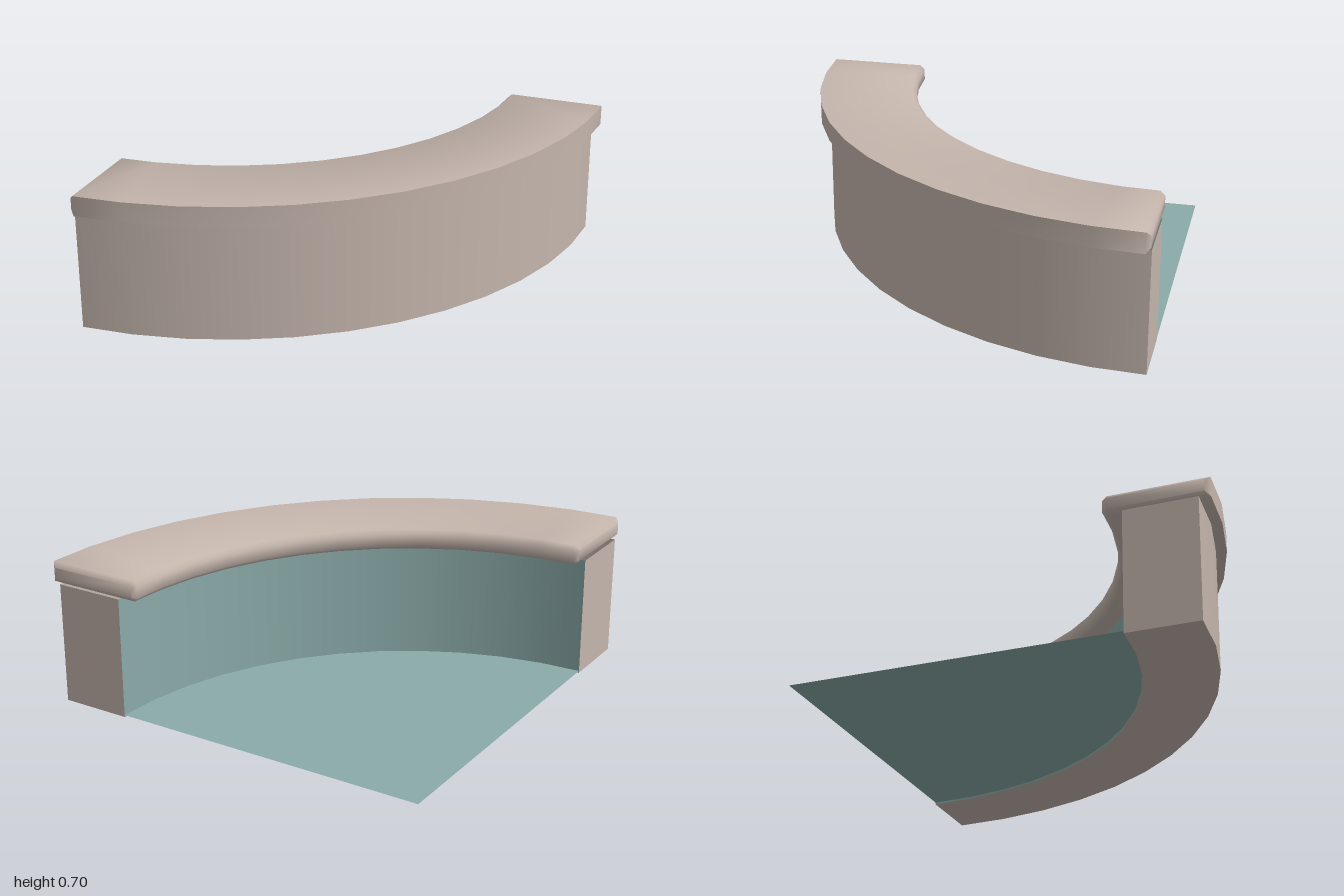
import * as THREE from 'three';
import { toCreasedNormals } from 'three/addons/utils/BufferGeometryUtils.js';

const QUARTER = Math.PI / 2;
const SEGMENTS = 12;
const WALL_INNER = 1.6, WALL_OUTER = 1.95, WALL_HEIGHT = 0.6;
const BEVEL = 0.022;

// Curved slab with a chamfered inner edge and chamfered ends.
function copingGeometry(inner, outer, bottom, top, bevel) {
  const section = [
    [outer, bottom], [outer, top],
    [inner + bevel, top], [inner, top - bevel],
    [inner, bottom + bevel], [inner + bevel, bottom],
  ];
  const { clamp } = THREE.MathUtils;
  const inset = section.map(([r, y]) => [
    clamp(r, inner + bevel, outer - bevel),
    clamp(y, bottom + bevel, top - bevel),
  ]);

  // Each ring: a cross-section, its angle, and a shift away from the end plane
  const rings = [{ pts: inset, a: 0, dx: 0, dz: 0 }, { pts: section, a: 0, dx: bevel, dz: 0 }];
  for (let i = 1; i < SEGMENTS; i++) {
    rings.push({ pts: section, a: (i / SEGMENTS) * QUARTER, dx: 0, dz: 0 });
  }
  rings.push({ pts: section, a: QUARTER, dx: 0, dz: bevel }, { pts: inset, a: QUARTER, dx: 0, dz: 0 });

  const positions = [], index = [];
  for (const { pts, a, dx, dz } of rings) {
    for (const [r, y] of pts) positions.push(r * Math.sin(a) + dx, y, r * Math.cos(a) + dz);
  }
  const n = section.length;
  for (let i = 0; i < rings.length - 1; i++) {
    for (let j = 0; j < n; j++) {
      const a = i * n + j, b = i * n + ((j + 1) % n);
      index.push(a, a + n, b + n, a, b + n, b);
    }
  }
  // End faces
  const last = (rings.length - 1) * n;
  for (let j = 1; j < n - 1; j++) {
    index.push(0, j, j + 1, last, last + j + 1, last + j);
  }
  const geometry = new THREE.BufferGeometry();
  geometry.setAttribute('position', new THREE.Float32BufferAttribute(positions, 3));
  geometry.setIndex(index);
  return toCreasedNormals(geometry, Math.PI / 3);
}

export function createModel() {
  const stone = new THREE.MeshStandardMaterial({ color: 0xc4b5ac, side: THREE.DoubleSide });
  stone.name = 'stone';
  const lining = new THREE.MeshStandardMaterial({ color: 0x8aaaa8, side: THREE.DoubleSide });
  lining.name = 'poolLining';

  const model = new THREE.Group();
  model.name = 'quarterPool';
  // All arcs share a centre at the back right corner
  const arc = new THREE.Group();
  arc.name = 'quarterRing';
  arc.position.set(-1, 0, -1);
  model.add(arc);

  const add = (name, geometry, material) => {
    const mesh = new THREE.Mesh(geometry, material);
    mesh.name = name;
    arc.add(mesh);
    return mesh;
  };

  // Curved wall faces
  const curvedWall = (radius) => new THREE.CylinderGeometry(
    radius, radius, WALL_HEIGHT, SEGMENTS, 1, true, 0, QUARTER).translate(0, WALL_HEIGHT / 2, 0);
  add('outerWall', curvedWall(WALL_OUTER), stone);
  add('innerWall', curvedWall(WALL_INNER), lining);

  // Flat wall underside
  add('wallBase', new THREE.RingGeometry(WALL_INNER, WALL_OUTER, SEGMENTS, 1, 0, QUARTER)
    .rotateX(Math.PI / 2), stone);

  // Cut ends of the wall
  const middle = (WALL_INNER + WALL_OUTER) / 2;
  const endFace = () => new THREE.PlaneGeometry(WALL_OUTER - WALL_INNER, WALL_HEIGHT);
  add('rightWallEnd', endFace().rotateY(-QUARTER).translate(0, WALL_HEIGHT / 2, middle), stone);
  add('backWallEnd', endFace().rotateY(Math.PI).translate(middle, WALL_HEIGHT / 2, 0), stone);

  // Pool floor
  add('floor', new THREE.CircleGeometry(WALL_INNER, SEGMENTS, 0, QUARTER)
    .rotateX(-Math.PI / 2).scale(1, 1, -1).translate(0, 0.01, 0), lining);
  const floor = arc.getObjectByName('floor').geometry;
  // Mirroring reverses the corners, so restore their order
  const idx = floor.index;
  for (let i = 0; i < idx.count; i += 3) {
    const b = idx.getX(i + 1);
    idx.setX(i + 1, idx.getX(i + 2));
    idx.setX(i + 2, b);
  }
  floor.computeVertexNormals();

  // Overhanging rim
  add('rimCoping', copingGeometry(1.5, 2, 0.6, 0.7, BEVEL), stone);

  return model;
}
